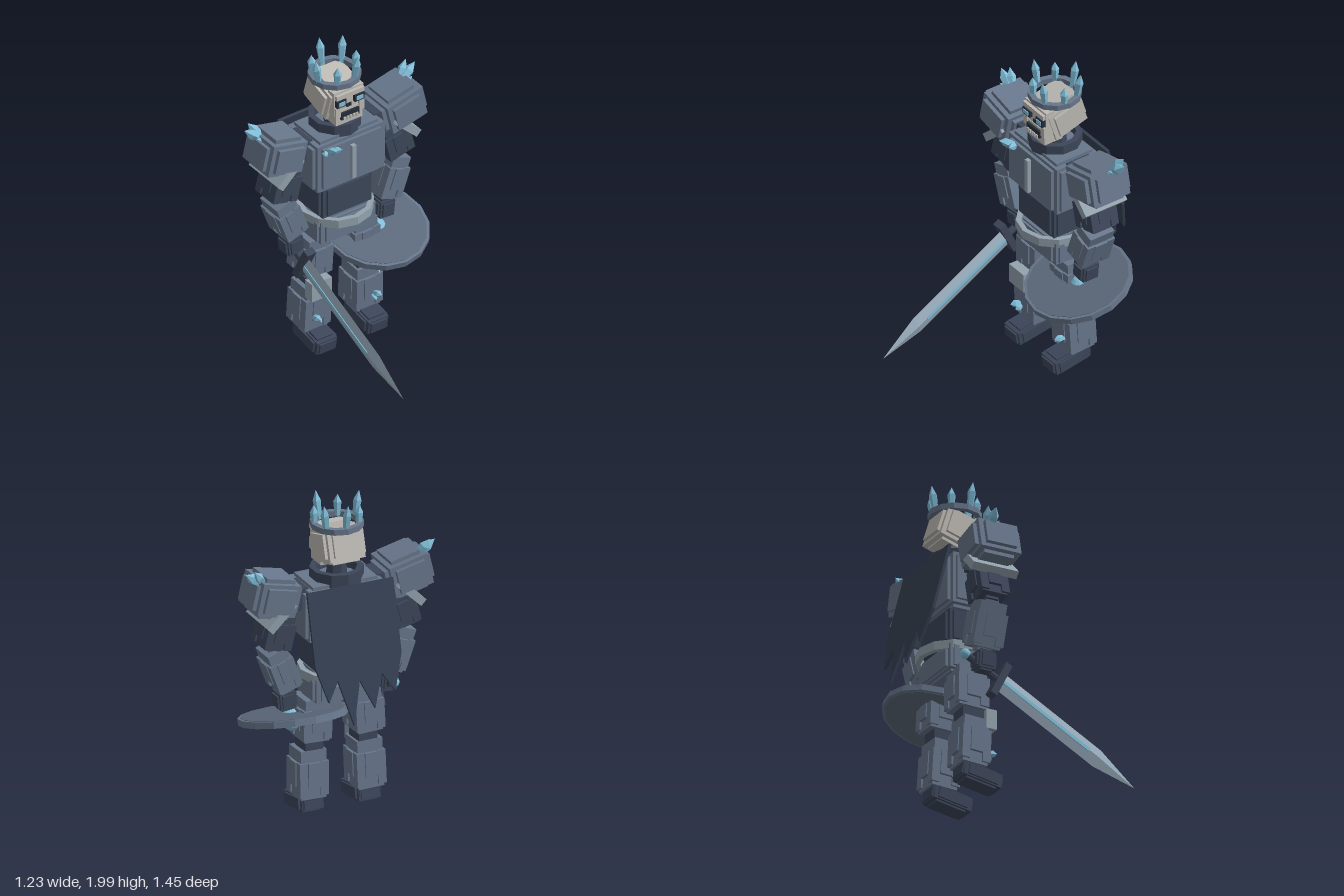
import * as THREE from 'three';

const mat = (name, color) => {
  const m = new THREE.MeshStandardMaterial({ color, flatShading: true });
  m.name = name;
  return m;
};

export function createModel() {
  const model = new THREE.Group();
  model.name = 'armouredUndeadKing';
  const steel = mat('steel', 0x68778c), dark = mat('darkSteel', 0x3d475a), trim = mat('paleSteel', 0x93a3ae);
  const bone = mat('bone', 0xbdbab4), ice = mat('ice', 0x82bfda), cloth = mat('cloth', 0x364153);
  const black = mat('socket', 0x262e3b), shieldFace = mat('shieldFace', 0x5c6a7c), bladeMat = mat('blade', 0x9cb0c0);

  const add = (name, geo, m, pos = [0, 0, 0], rot = [0, 0, 0], parent = model) => {
    const mesh = new THREE.Mesh(geo, m);
    mesh.name = name;
    mesh.position.set(...pos);
    mesh.rotation.set(...rot);
    parent.add(mesh);
    return mesh;
  };
  const box = (name, m, size, pos, rot, parent) => add(name, new THREE.BoxGeometry(...size), m, pos, rot, parent);

  // Block with a raised panel on every face; size is the overall size
  const armoured = (name, m, [w, h, d], pos, rot = [0, 0, 0], e = 0.015, k = 0.74) => {
    const g = new THREE.Group();
    g.name = name;
    g.position.set(...pos);
    g.rotation.set(...rot);
    const a = w - 2 * e, b = h - 2 * e, c = d - 2 * e;
    box(name + 'Core', m, [a, b, c], [0, 0, 0], [0, 0, 0], g);
    box(name + 'SidePanels', m, [w, b * k, c * k], [0, 0, 0], [0, 0, 0], g);
    box(name + 'EndPanels', m, [a * k, h, c * k], [0, 0, 0], [0, 0, 0], g);
    box(name + 'FacePanels', m, [a * k, b * k, d], [0, 0, 0], [0, 0, 0], g);
    model.add(g);
    return g;
  };

  // Limb: core with four narrow raised slats and inset joint ends
  const limb = (name, m, [w, h, d], pos, rot) => {
    const g = armoured(name, m, [w, h, d], pos, rot, 0.018, 0.5);
    for (const x of [-1, 1]) for (const z of [-1, 1])
      box(name + 'Slat', m, [w * 0.26, h * 0.62, d * 0.26], [x * w * 0.34, -h * 0.08, z * d * 0.34], [0, 0, 0], g);
    return g;
  };

  // Ice shard from base to tip
  const crystal = (base, tip, r, name = 'iceShard') => {
    const from = new THREE.Vector3(...base), dir = new THREE.Vector3(...tip).sub(from), h = dir.length();
    const pts = [[0, 0], [r * 0.65, 0], [r, h * 0.65], [0, h]].map(p => new THREE.Vector2(...p));
    const c = add(name, new THREE.LatheGeometry(pts, 5), ice, base);
    c.quaternion.setFromUnitVectors(new THREE.Vector3(0, 1, 0), dir.normalize());
  };

  // Square-section band around the y axis
  const band = (ri, ro, h, n) => new THREE.LatheGeometry(
    [[ri, 0], [ro, 0], [ro, h], [ri, h], [ri, 0]].map(p => new THREE.Vector2(...p)), n);

  // Torso
  armoured('chest', steel, [0.52, 0.36, 0.34], [-0.005, 1.32, -0.325], [0, 0, 0], 0.02, 0.87);
  box('chestRidge', trim, [0.03, 0.23, 0.03], [-0.01, 1.315, -0.145]);
  armoured('abdomen', dark, [0.38, 0.24, 0.29], [-0.01, 1.04, -0.335], [0, 0, 0], 0.015, 0.85);
  armoured('pelvis', steel, [0.42, 0.18, 0.3], [-0.005, 0.835, -0.335], [0, 0, 0], 0.015, 0.85);
  add('belt', band(0.2, 0.232, 0.055, 12), trim, [-0.005, 0.88, -0.335]);
  add('collar', band(0.125, 0.162, 0.08, 10), dark, [-0.005, 1.48, -0.335]);
  add('neck', new THREE.CylinderGeometry(0.06, 0.07, 0.14, 8), dark, [-0.005, 1.53, -0.34]);

  // Skull, tipped forwards
  armoured('skull', bone, [0.265, 0.23, 0.27], [-0.008, 1.71, -0.35], [0.3, 0, 0], 0.018, 0.76);
  box('facePlate', bone, [0.21, 0.16, 0.06], [-0.005, 1.72, -0.225]);
  box('brow', bone, [0.2, 0.03, 0.03], [-0.005, 1.772, -0.19]);
  box('jaw', bone, [0.19, 0.1, 0.13], [-0.005, 1.62, -0.255]);
  for (const s of [-1, 1]) {
    box('eyeSocket', black, [0.068, 0.046, 0.04], [-0.006 + s * 0.064, 1.728, -0.192]);
    box('eyeGlow', ice, [0.046, 0.026, 0.008], [-0.006 + s * 0.064, 1.728, -0.171]);
    box('cheek', bone, [0.035, 0.07, 0.03], [-0.005 + s * 0.085, 1.665, -0.195]);
  }
  box('nose', black, [0.035, 0.022, 0.008], [-0.006, 1.69, -0.192]);
  box('mouth', black, [0.13, 0.046, 0.02], [-0.006, 1.632, -0.185]);
  for (let i = 0; i < 5; i++) box('tooth', bone, [0.015, 0.022, 0.012], [-0.05 + i * 0.022, 1.617, -0.173]);

  // Crown with seven shards, alternating in height
  add('crownBand', band(0.125, 0.16, 0.035, 12), trim, [-0.008, 1.817, -0.335]).material = steel;
  for (let i = 0; i < 7; i++) {
    const a = Math.PI + i * Math.PI * 2 / 7, s = Math.sin(a), c = Math.cos(a);
    const out = i % 2 ? 0.14 : 0.165;
    crystal([-0.008 + s * 0.135, 1.825, -0.335 + c * 0.125],
      [-0.008 + s * out, i % 2 ? 1.96 : 2, -0.335 + c * (out - 0.01)], 0.026, 'crownShard');
  }

  // Arms and legs
  for (const s of [-1, 1]) {
    const x = v => s * v - 0.004;
    box('shoulderJoint', dark, [0.12, 0.14, 0.16], [x(0.28), 1.42, -0.335]);
    armoured('pauldron', steel, [0.3, 0.25, 0.31], [x(0.43), 1.46, -0.335], [0, 0, s * 0.23], 0.025, 0.76);
    box('pauldronRim', trim, [0.22, 0.05, 0.3], [x(0.42), 1.36, -0.335], [0, 0, -s * 0.77]);
    crystal([x(0.48), 1.53, -0.37], [x(0.615), 1.635, -0.39], 0.034, 'shoulderShard');
    crystal([x(0.48), 1.53, -0.38], [x(0.57), 1.655, -0.42], 0.03, 'shoulderShard');
    crystal([x(0.47), 1.52, -0.36], [x(0.56), 1.58, -0.34], 0.026, 'shoulderShard');
    limb('upperArm', dark, [0.19, 0.26, 0.2], [x(0.4), 1.23, -0.335], [0, 0, s * 0.25]);
    limb('forearm', steel, [0.165, 0.31, 0.21], [x(0.375), 0.98, -0.33], [0, 0, -s * 0.35]);
    armoured('hand', dark, [0.125, 0.13, 0.13], [x(0.33), 0.765, -0.32], [0, 0, -s * 0.1], 0.012, 0.75);
    limb('thigh', steel, [0.195, 0.3, 0.22], [x(0.17), 0.63, -0.345], [0.03, 0, s * 0.04]);
    box('kneeJoint', dark, [0.12, 0.12, 0.14], [x(0.175), 0.46, -0.335]);
    limb('shin', steel, [0.2, 0.34, 0.2], [x(0.185), 0.28, -0.335], [0.05, 0, s * 0.02]);
    armoured('boot', dark, [0.165, 0.11, 0.27], [x(0.185), 0.077, -0.28], [0.17, 0, 0], 0.012, 0.8);
    box('ankle', dark, [0.13, 0.09, 0.14], [x(0.185), 0.1, -0.34]);
    crystal([x(0.215), 0.23, -0.25], [x(0.22), 0.245, -0.17], 0.022, 'shinShard');
    crystal([x(0.205), 0.22, -0.25], [x(0.195), 0.21, -0.19], 0.018, 'shinShard');
  }
  box('kneeGuard', trim, [0.145, 0.125, 0.07], [-0.198, 0.44, -0.23]);

  // Chest and left knee shards
  crystal([-0.17, 1.43, -0.18], [-0.19, 1.495, -0.065], 0.026, 'chestShard');
  crystal([-0.17, 1.43, -0.18], [-0.125, 1.47, -0.09], 0.024, 'chestShard');
  crystal([-0.18, 1.43, -0.18], [-0.23, 1.45, -0.12], 0.02, 'chestShard');
  crystal([0.155, 0.57, -0.23], [0.155, 0.465, -0.1], 0.026, 'kneeShard');
  crystal([0.14, 0.55, -0.22], [0.17, 0.545, -0.12], 0.02, 'kneeShard');

  // Ragged cape, hanging out from the back
  const hem = [[-0.285, 0], [-0.285, -0.45], [-0.22, -0.67], [-0.145, -0.55], [-0.08, -0.75], [0, -0.57],
    [0.065, -0.83], [0.14, -0.55], [0.21, -0.67], [0.275, -0.45], [0.275, 0]];
  const capeShape = new THREE.Shape(hem.map(p => new THREE.Vector2(...p)));
  add('cape', new THREE.ExtrudeGeometry(capeShape, { depth: 0.018, bevelEnabled: false }), cloth,
    [0, 1.505, -0.525], [0.25, 0, 0]);

  // Shield, lying tilted under the left hand
  const shield = new THREE.Group();
  shield.name = 'shield';
  shield.position.set(0.265, 0.64, -0.31);
  shield.rotation.x = 0.285;
  add('shieldRim', band(0.29, 0.328, 0.04, 16), trim, [0, -0.02, 0], [0, 0, 0], shield).material = steel;
  add('shieldDisc', new THREE.CylinderGeometry(0.31, 0.31, 0.046, 16), shieldFace, [0, 0, 0], [0, 0, 0], shield);
  add('shieldBoss', new THREE.SphereGeometry(0.068, 12, 8), ice, [0.01, -0.022, 0], [0, 0, 0], shield);
  model.add(shield);

  // Sword, running along its own +z from the right hand
  const sword = new THREE.Group();
  sword.name = 'sword';
  sword.position.set(-0.323, 0.73, -0.32);
  sword.lookAt(-0.265, 0.205, 0.725);
  const blade = (name, tipR, len, z) => add(name,
    new THREE.CylinderGeometry(tipR, 1, len, 4).rotateX(Math.PI / 2).scale(0.022, 0.065, 1),
    bladeMat, [0, 0, z], [0, 0, 0], sword);
  blade('bladeBody', 1, 0.75, 0.505);
  blade('bladeTip', 0, 0.29, 1.025);
  box('fuller', ice, [0.046, 0.022, 0.66], [0, 0, 0.48], [0, 0, 0], sword);
  box('crossguard', dark, [0.065, 0.24, 0.045], [0, 0, 0.125], [0, 0, 0], sword);
  add('grip', new THREE.CylinderGeometry(0.022, 0.022, 0.25, 8), dark, [0, 0, 0], [Math.PI / 2, 0, 0], sword);
  add('pommel', new THREE.SphereGeometry(0.032, 10, 8), ice, [0, 0, -0.135], [0, 0, 0], sword);
  model.add(sword);

  return model;
}
